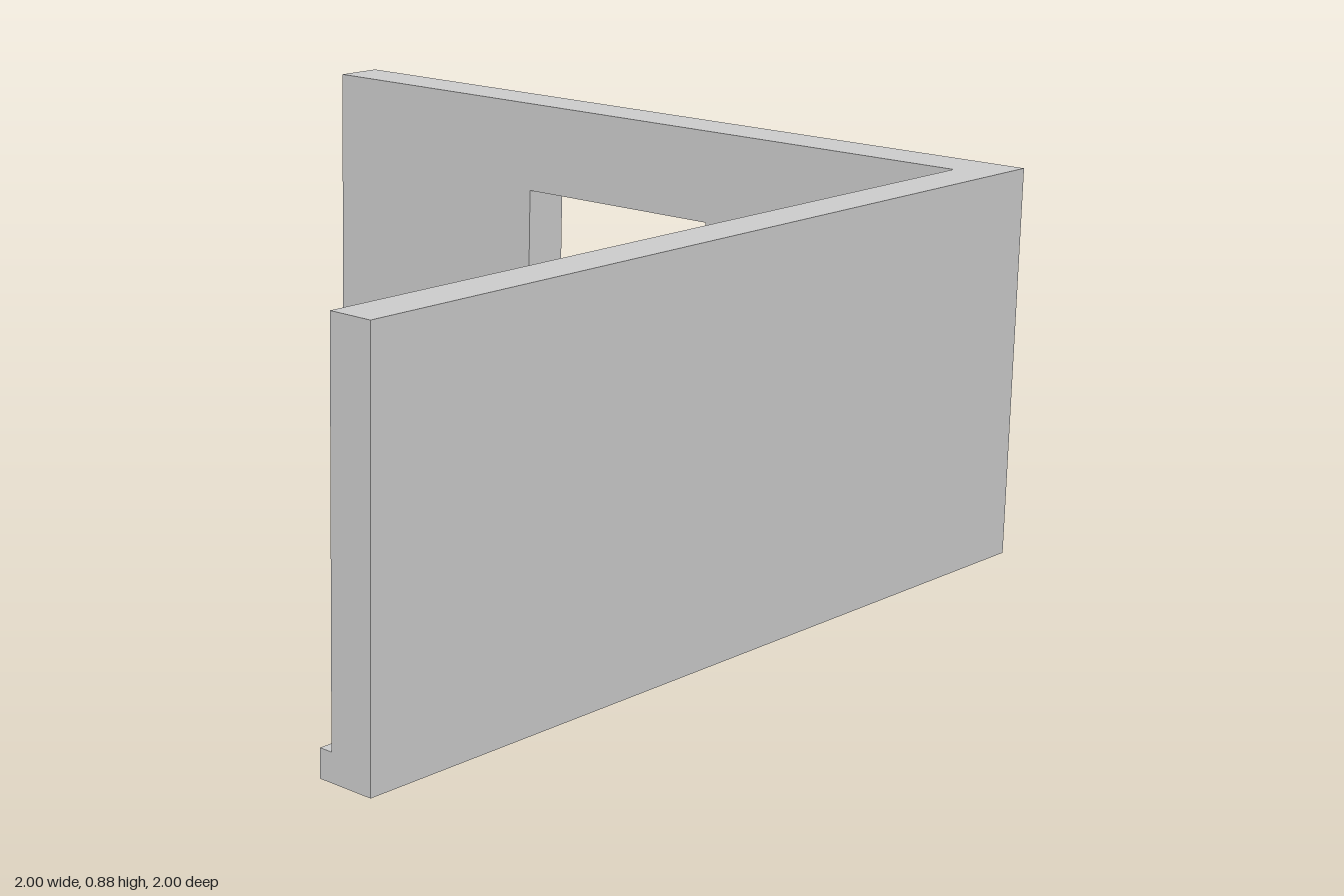
import * as THREE from 'three';

const HEIGHT = 0.877;
const BACK_INNER = -0.88;  // room-side face of the back wall (z)
const SIDE_INNER = 0.9;    // room-side face of the side wall (x)
const SKIRT_HEIGHT = 0.06;
const SKIRT_Z = -0.86;
const SKIRT_X = 0.87;

const polygon = (points) => new THREE.Shape(points.map(([x, y]) => new THREE.Vector2(x, y)));

const rectangle = (x0, y0, x1, y1) => polygon([[x0, y0], [x1, y0], [x1, y1], [x0, y1]]);

const extrude = (shape, depth) => new THREE.ExtrudeGeometry(shape, { depth, bevelEnabled: false });

export function createModel() {
  const model = new THREE.Group();
  model.name = 'cornerWalls';
  const material = new THREE.MeshStandardMaterial({ color: 0xcccccc });

  const add = (name, geometry) => {
    const mesh = new THREE.Mesh(geometry, material);
    mesh.name = name;
    model.add(mesh);
    return mesh;
  };

  // Back wall with its window opening
  const backShape = rectangle(-1, 0, 1, HEIGHT);
  backShape.holes.push(rectangle(-0.335, 0.23, 0.22, 0.66));
  add('backWall', extrude(backShape, BACK_INNER + 1)).position.z = -1;

  // Solid side wall, butted against the back wall
  const sideLength = 1 - BACK_INNER;
  const sideWall = add('sideWall', new THREE.BoxGeometry(1 - SIDE_INNER, HEIGHT, sideLength));
  sideWall.position.set((1 + SIDE_INNER) / 2, HEIGHT / 2, 1 - sideLength / 2);

  // Skirting board following the inside corner; plan drawn as (x, -z)
  const skirtShape = polygon([
    [-1, -SKIRT_Z], [SKIRT_X, -SKIRT_Z], [SKIRT_X, -1],
    [SIDE_INNER, -1], [SIDE_INNER, -BACK_INNER], [-1, -BACK_INNER],
  ]);
  add('skirtingBoard', extrude(skirtShape, SKIRT_HEIGHT).rotateX(-Math.PI / 2));

  return model;
}
